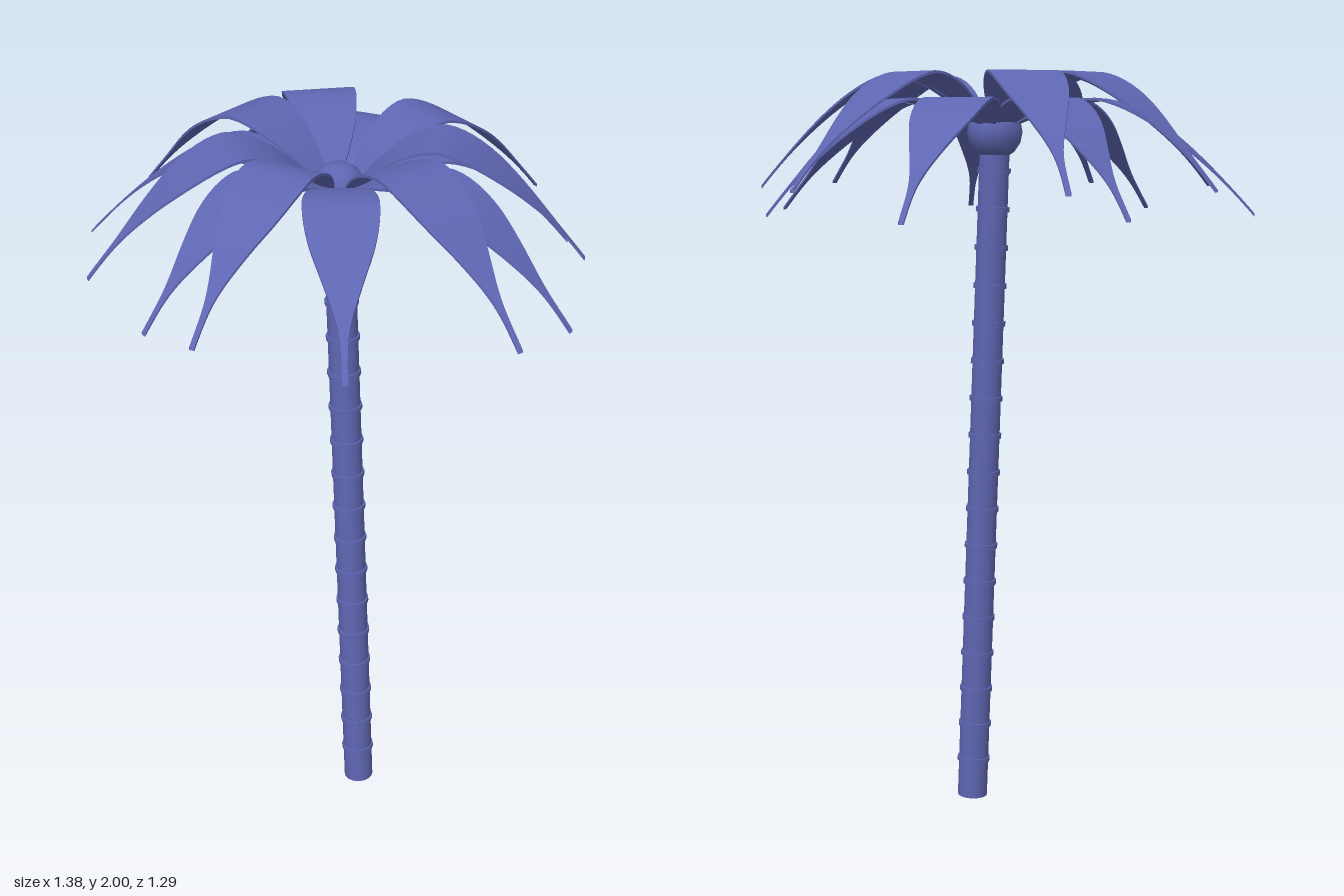
import * as THREE from 'three';

const palmBlue = new THREE.MeshStandardMaterial({ color: 0x5f66b2, side: THREE.DoubleSide });
palmBlue.name = 'palmBlue';

const CROWN_X = -0.027;
const HALF_THICKNESS = 0.0035;

// half width of a frond along its length: [t, half width]
const WIDTHS = [[0.09, 0.024], [0.15, 0.047], [0.25, 0.074], [0.38, 0.091], [0.5, 0.092],
  [0.62, 0.078], [0.74, 0.047], [0.84, 0.02], [0.91, 0.009], [1, 0.007]];
const outline = new THREE.SplineCurve(WIDTHS.map(([t, w]) => new THREE.Vector2(t, w)));

// height below the peak: a rise out of the heart, then a long droop to the tip
function archDrop(t, rise) {
  const peak = 0.41;
  return t < peak
    ? rise * Math.pow((peak - t) / (peak - 0.09), 1.8)
    : 0.296 * Math.pow((t - peak) / (1 - peak), 1.55);
}

// thin arched leaf blade pointing along +x, flat across its width
function frondGeometry(length, peakY, rise) {
  const positions = [], index = [], steps = 30;
  // one strip per side of the cross-section: top, right edge, underside, left edge
  const corners = [[1, -1], [1, 1], [-1, 1], [-1, -1]];
  for (let k = 0; k < 4; k++) {
    for (let i = 0; i <= steps; i++) {
      const { x: t, y: w } = outline.getPoint(i / steps);
      const y = peakY - HALF_THICKNESS - archDrop(t, rise);
      for (const [up, side] of [corners[k], corners[(k + 1) % 4]]) {
        positions.push(t * length, y + up * HALF_THICKNESS, side * w);
      }
      if (i < steps) {
        const a = (k * (steps + 1) + i) * 2;
        index.push(a, a + 1, a + 2, a + 1, a + 3, a + 2);
      }
    }
  }
  const g = new THREE.BufferGeometry();
  g.setAttribute('position', new THREE.Float32BufferAttribute(positions, 3));
  g.setIndex(index);
  g.computeVertexNormals();
  return g;
}

export function createModel() {
  const palm = new THREE.Group();
  palm.name = 'palmTree';
  const add = (parent, name, geometry) => {
    const mesh = new THREE.Mesh(geometry, palmBlue);
    mesh.name = name;
    parent.add(mesh);
    return mesh;
  };

  // leaning trunk with flat growth rings
  const trunk = new THREE.Group();
  trunk.name = 'trunk';
  trunk.position.set(0.054, 0.002, 0);
  trunk.rotation.z = Math.atan2(0.081, 1.8);
  palm.add(trunk);
  add(trunk, 'trunkStem', new THREE.CylinderGeometry(0.04, 0.041, 1.82, 16).translate(0, 0.91, 0));
  for (let i = 1; i <= 17; i++) {
    add(trunk, 'trunkRing', new THREE.CylinderGeometry(0.045, 0.045, 0.013, 16))
      .position.y = 0.005 + i * 0.1023;
  }

  // ball at the heart of the crown
  add(palm, 'crownHeart', new THREE.SphereGeometry(0.074, 10, 8)).position.set(CROWN_X, 1.846, 0);

  // two tiers of fronds: [angle in degrees from +x towards +z, length]
  const tiers = [
    ['upperFrond', 2.0, 0.12, [[-80, 0.65], [-36.5, 0.627], [9.5, 0.728], [75, 0.67], [116, 0.652], [174.3, 0.667], [215.3, 0.692]]],
    ['lowerFrond', 1.933, 0.06, [[-111.7, 0.692], [-60, 0.622], [-12.4, 0.67], [43.3, 0.628], [96, 0.602], [153.5, 0.692], [198.6, 0.624]]],
  ];
  for (const [name, peakY, rise, fronds] of tiers) {
    for (const [angle, length] of fronds) {
      const frond = add(palm, name, frondGeometry(length, peakY, rise));
      frond.position.x = CROWN_X;
      frond.rotation.y = -THREE.MathUtils.degToRad(angle);
    }
  }
  return palm;
}
